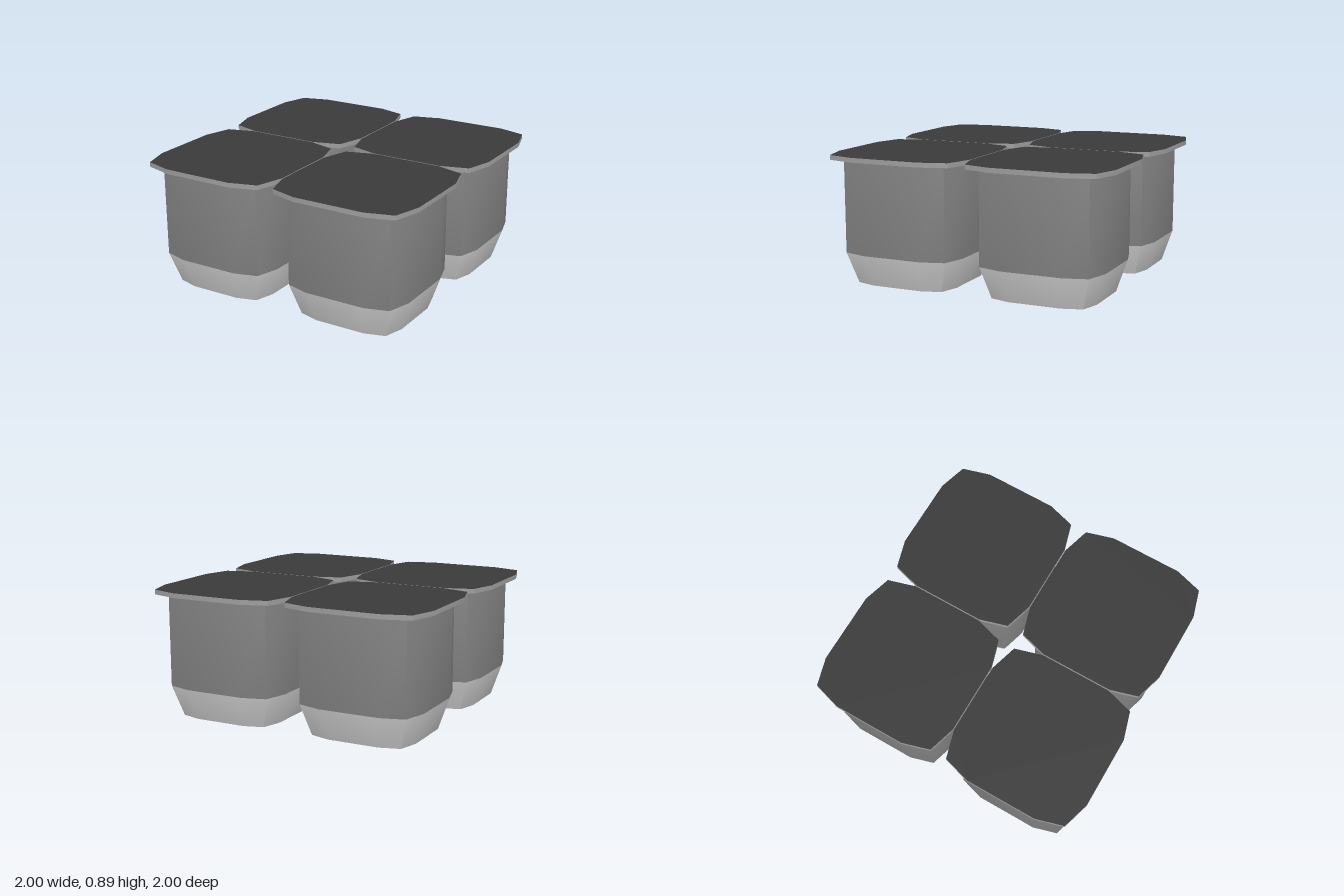
import * as THREE from 'three';
import { toCreasedNormals } from 'three/addons/utils/BufferGeometryUtils.js';

const grey = new THREE.MeshStandardMaterial({ color: 0xcccccc });
const wallGrey = new THREE.MeshStandardMaterial({ color: 0x888888 });
const lidGrey = new THREE.MeshStandardMaterial({ color: 0xa0a0a0 });
const lidDark = new THREE.MeshStandardMaterial({ color: 0x3a3a3a });
const PITCH = 0.502;

// Bulging square outline with twelve corners, counter-clockwise from above
const outline = [];
for (let k = 0; k < 4; k++) {
  for (const [x, y] of [[0.498, -0.25], [0.498, 0.25], [0.442, 0.442]]) {
    outline.push(new THREE.Vector2(x, y).rotateAround(new THREE.Vector2(), k * Math.PI / 2));
  }
}

// Wall strips through scaled copies of the outline, given as [scale, y] rings.
// Normals are smoothed across all strips, then each strip becomes its own geometry.
function strips(rings) {
  const positions = [];
  const point = (i, [s, y]) => {
    const p = outline[i % outline.length];
    return [p.x * s, y, -p.y * s];
  };
  for (let r = 0; r < rings.length - 1; r++) {
    for (let i = 0; i < outline.length; i++) {
      const a = point(i, rings[r]), b = point(i + 1, rings[r]);
      const c = point(i + 1, rings[r + 1]), d = point(i, rings[r + 1]);
      positions.push(...a, ...b, ...c, ...a, ...c, ...d);
    }
  }
  const whole = new THREE.BufferGeometry();
  whole.setAttribute('position', new THREE.Float32BufferAttribute(positions, 3));
  const smooth = toCreasedNormals(whole, 0.6);
  const size = outline.length * 18;
  return rings.slice(1).map((_, r) => {
    const strip = new THREE.BufferGeometry();
    for (const key of ['position', 'normal']) {
      const values = smooth.attributes[key].array.slice(r * size, (r + 1) * size);
      strip.setAttribute(key, new THREE.BufferAttribute(values, 3));
    }
    return strip;
  });
}

// Flat cap facing up (dir 1) or down (dir -1)
function cap(scale, y, dir) {
  return new THREE.ShapeGeometry(new THREE.Shape(outline))
    .scale(scale, scale, 1)
    .rotateX(-dir * Math.PI / 2)
    .translate(0, y, 0);
}

const [taper, wall] = strips([[0.72, 0], [0.853, 0.215], [0.853, 0.855]]);
const [lidUnderside, lidEdge] = strips([[0.853, 0.855], [1, 0.855], [1, 0.887]]);

// Parts of one cup, bottom to top
const parts = {
  base: [cap(0.72, 0, -1), grey],
  taper: [taper, grey],
  wall: [wall, wallGrey],
  lidUnderside: [lidUnderside, lidGrey],
  lidEdge: [lidEdge, lidGrey],
  lidTop: [cap(1, 0.887, 1), lidDark],
};

function createCup(name, x, z) {
  const cup = new THREE.Group();
  cup.name = name;
  for (const [part, [geometry, material]] of Object.entries(parts)) {
    const mesh = new THREE.Mesh(geometry, material);
    mesh.name = part;
    cup.add(mesh);
  }
  cup.position.set(x, 0, z);
  return cup;
}

export function createModel() {
  const model = new THREE.Group();
  model.name = 'cupFourPack';
  for (const sx of [-1, 1]) {
    for (const sz of [-1, 1]) {
      const name = (sz > 0 ? 'front' : 'back') + (sx > 0 ? 'Left' : 'Right') + 'Cup';
      model.add(createCup(name, sx * PITCH, sz * PITCH));
    }
  }
  return model;
}
